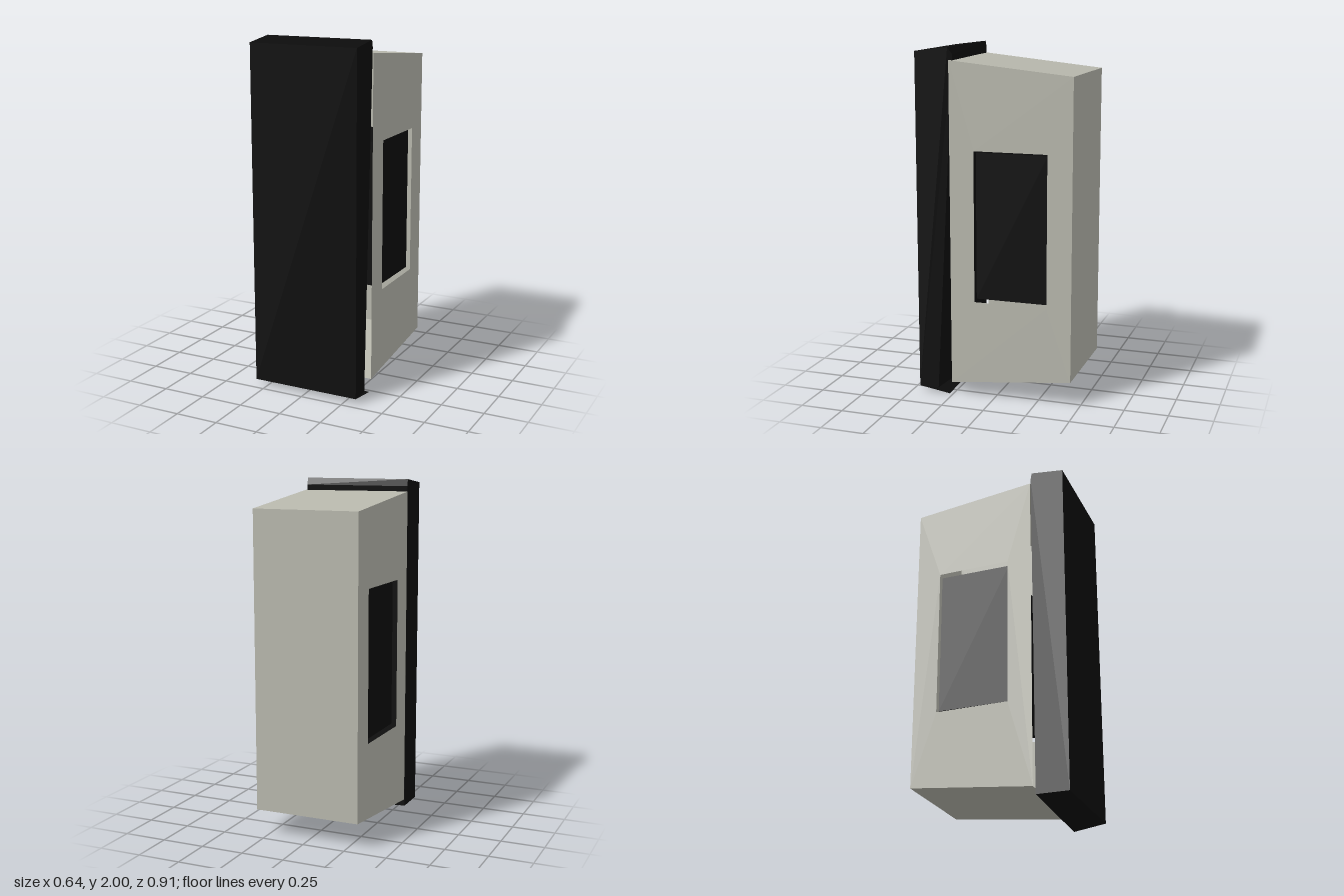
import * as THREE from 'three';

const bodyColour = new THREE.MeshStandardMaterial({ color: 0xb8b8ad, side: THREE.DoubleSide });
bodyColour.name = 'warm grey';
const darkColour = new THREE.MeshStandardMaterial({ color: 0x0c0c0c, side: THREE.DoubleSide });
darkColour.name = 'black';

// Flat faces from corner loops, counter-clockwise seen from outside
function faces(name, loops, material) {
  const p = [];
  for (const l of loops)
    for (let i = 1; i < l.length - 1; i++) p.push(...l[0], ...l[i], ...l[i + 1]);
  const g = new THREE.BufferGeometry();
  g.setAttribute('position', new THREE.Float32BufferAttribute(p, 3));
  g.computeVertexNormals();
  const m = new THREE.Mesh(g, material);
  m.name = name;
  return m;
}

// Tapered housing dimensions: front edge and back edge
const F = { x: 0.321, z: 0.255, lo: 0.075, hi: 1.93 };
const B = { x: 0.311, z: -0.452, lo: 0.148, hi: 1.858 };

// Side wall with a rectangular opening; s = 1 for +x, -1 for -x
function sideWall(s) {
  const v = (z, y) => new THREE.Vector2(-s * z, y);
  const shape = new THREE.Shape([v(F.z, F.lo), v(B.z, B.lo), v(B.z, B.hi), v(F.z, F.hi)]);
  shape.holes.push(new THREE.Path([v(0.113, 0.57), v(0.113, 1.435), v(-0.31, 1.435), v(-0.31, 0.57)]));
  const g = new THREE.ShapeGeometry(shape);
  const p = g.attributes.position;
  for (let i = 0; i < p.count; i++) {
    const z = -s * p.getX(i);
    const t = (z - B.z) / (F.z - B.z);
    p.setXYZ(i, s * (B.x + (F.x - B.x) * t), p.getY(i), z);
  }
  g.computeVertexNormals();
  const m = new THREE.Mesh(g, bodyColour);
  m.name = s > 0 ? 'leftWall' : 'rightWall';
  return m;
}

export function createModel() {
  const model = new THREE.Group();
  model.name = 'cabinet';

  // Housing, open behind the front panel
  const housing = new THREE.Group();
  housing.name = 'housing';
  const c = (e, s, y) => [s * e.x, y, e.z];
  housing.add(
    sideWall(1),
    sideWall(-1),
    faces('roof', [[c(F, -1, F.hi), c(F, 1, F.hi), c(B, 1, B.hi), c(B, -1, B.hi)]], bodyColour),
    faces('floor', [[c(B, -1, B.lo), c(B, 1, B.lo), c(F, 1, F.lo), c(F, -1, F.lo)]], bodyColour),
    faces('backWall', [[c(B, 1, B.lo), c(B, -1, B.lo), c(B, -1, B.hi), c(B, 1, B.hi)]], bodyColour),
  );
  model.add(housing);

  // Dark block seen recessed in both side openings
  const core = new THREE.Mesh(new THREE.BoxGeometry(0.58, 0.84, 0.415), darkColour);
  core.name = 'sideWindowCore';
  core.position.set(0, 1.003, -0.098);
  model.add(core);

  // Front panel with a raised rear lip and a slightly skewed left edge
  const ftl = [-0.32, 1.976, 0.455], ftr = [0.32, 1.976, 0.455];
  const fbl = [-0.32, 0.03, 0.455], fbr = [0.32, 0.03, 0.455];
  const tbl = [-0.318, 2, 0.265], tbr = [0.316, 2, 0.262];
  const lipL = [-0.318, 1.96, 0.258], lipR = [0.308, 1.96, 0.236];
  const edgeR = [0.318, 0.03, 0.34];
  const bbl = [-0.32, 0.03, 0.27], bbr = [0.316, 0, 0.27];
  model.add(faces('frontPanel', [
    [fbl, fbr, ftr, ftl],
    [ftl, ftr, tbr, tbl],
    [tbl, tbr, lipR, lipL],
    [lipL, lipR, edgeR, bbl],
    [fbr, edgeR, lipR, tbr, ftr],
    [fbl, ftl, tbl, lipL, bbl],
    [fbl, bbl, bbr, fbr],
  ], darkColour));

  return model;
}
